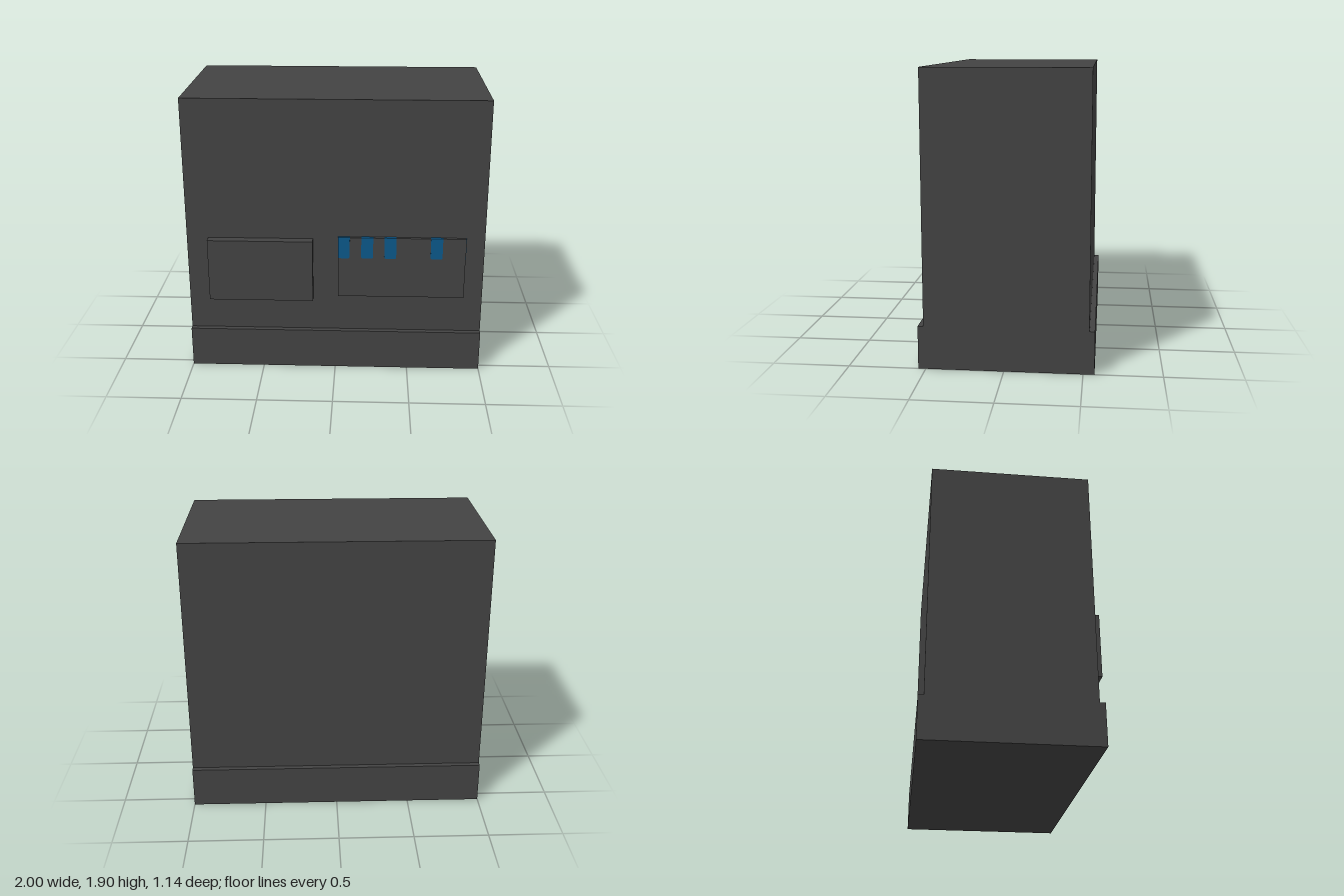
import * as THREE from 'three';

const charcoal = new THREE.MeshStandardMaterial({ color: 0x434343 });
charcoal.name = 'charcoal';
const blue = new THREE.MeshStandardMaterial({ color: 0x0c588a });
blue.name = 'blue';

export function createModel() {
  const group = new THREE.Group();

  const add = (name, geometry, material) => {
    const mesh = new THREE.Mesh(geometry, material);
    mesh.name = name;
    group.add(mesh);
    return mesh;
  };

  // Box given by its minimum and maximum corners
  const box = (name, [x0, y0, z0], [x1, y1, z1], material = charcoal) =>
    add(name, new THREE.BoxGeometry(x1 - x0, y1 - y0, z1 - z0), material)
      .position.set((x0 + x1) / 2, (y0 + y1) / 2, (z0 + z1) / 2);

  // Cabinet on a plinth that projects front and back
  box('base', [-1, 0, -0.572], [1, 0.28, 0.548]);
  box('body', [-1, 0.28, -0.537], [1, 1.905, 0.512]);

  // Front panels
  box('thickPanel', [-0.855, 0.518, 0.512], [-0.15, 0.951, 0.572]);
  box('thinPanel', [0.02, 0.54, 0.512], [0.874, 0.969, 0.532]);

  // Blue tabs folded over the panel's top edge, with rounded lower corners
  const w = 0.08, h = 0.15, r = 0.015;
  const tab = new THREE.Shape();
  tab.moveTo(0, h);
  tab.lineTo(0, r);
  tab.quadraticCurveTo(0, 0, r, 0);
  tab.lineTo(w - r, 0);
  tab.quadraticCurveTo(w, 0, w, r);
  tab.lineTo(w, h);
  const tabGeometry = new THREE.ExtrudeGeometry(tab, { depth: 0.022, bevelEnabled: false, curveSegments: 5 });
  for (const x of [0.018, 0.175, 0.33, 0.64]) {
    add('tab', tabGeometry, blue).position.set(x, 0.821, 0.512);
  }

  // Blue marking on the panel's outer edge
  box('edgeTab', [0.874, 0.821, 0.512], [0.876, 0.969, 0.532], blue);

  return group;
}
